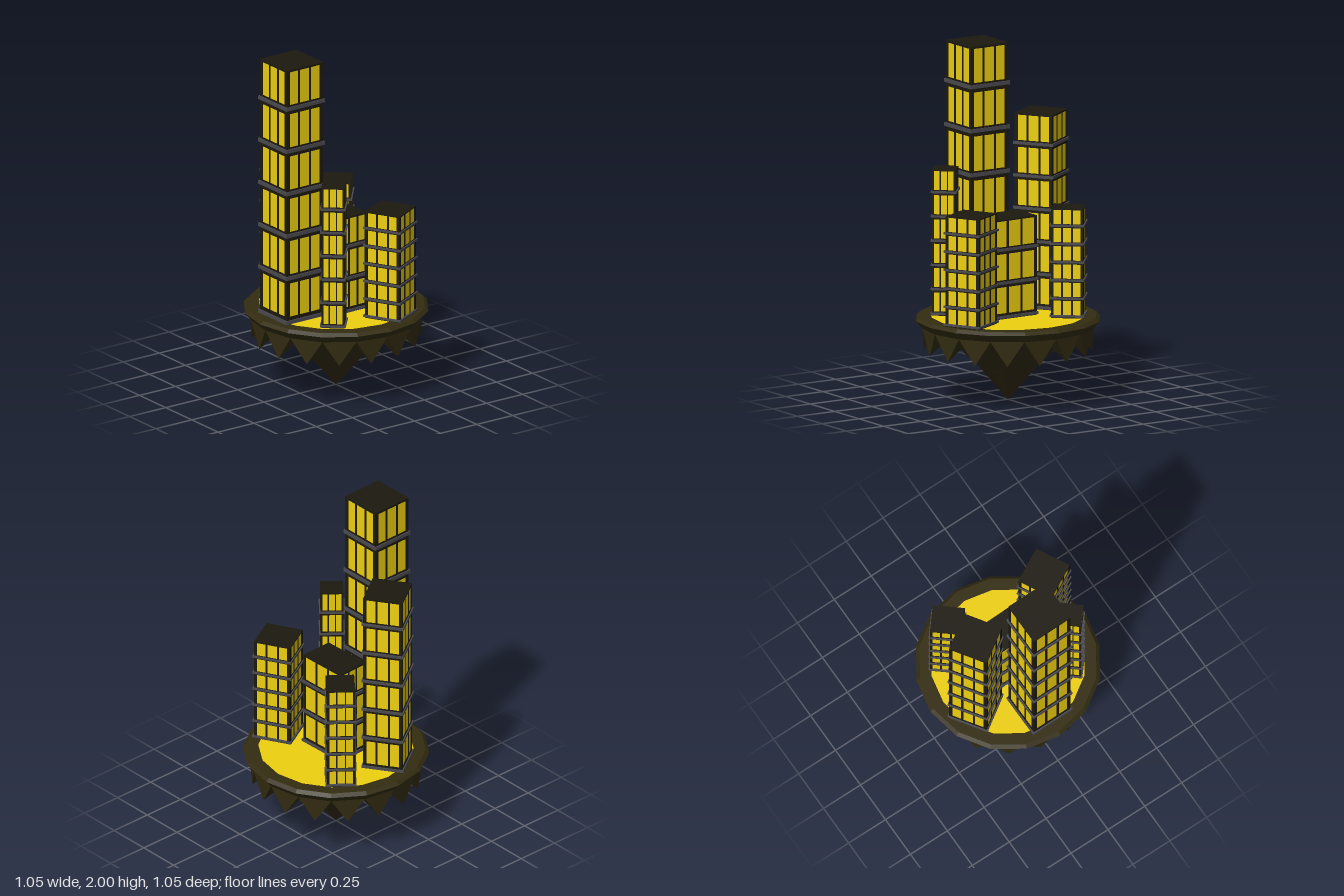
import * as THREE from 'three';

const SIDES = 16;
const GROUND = 0.485;
const mat = (color) => new THREE.MeshStandardMaterial({ color, flatShading: true });
const gold = mat(0xeed010);
const dark = mat(0x1c190f);
const trim = mat(0x4a4a50);
const rock = mat(0x332c11);

function add(parent, name, geometry, material, x = 0, y = 0, z = 0) {
  const mesh = new THREE.Mesh(geometry, material);
  mesh.name = name;
  mesh.position.set(x, y, z);
  parent.add(mesh);
  return mesh;
}

// Box given by its bottom and top heights
function block(parent, name, material, w, y0, y1, d, x = 0, z = 0) {
  return add(parent, name, new THREE.BoxGeometry(w, y1 - y0, d), material, x, (y0 + y1) / 2, z);
}

function lathe(parent, name, profile) {
  const points = profile.map(([r, y]) => new THREE.Vector2(r, y));
  return add(parent, name, new THREE.LatheGeometry(points, SIDES), rock);
}

// Ring of four-sided rock spikes hanging between the rim and the root
function spikeRing(outer, inner, tip) {
  const at = ([r, y], k) => {
    const a = (k / SIDES) * Math.PI * 2;
    return [r * Math.sin(a), y, r * Math.cos(a)];
  };
  const pos = [];
  for (let k = 0; k < SIDES; k++) {
    const t = at(tip, k + 0.5);
    const base = [at(outer, k), at(outer, k + 1), at(inner, k + 1), at(inner, k)];
    base.forEach((p, i) => pos.push(...p, ...t, ...base[(i + 1) % 4]));
  }
  const g = new THREE.BufferGeometry();
  g.setAttribute('position', new THREE.Float32BufferAttribute(pos, 3));
  g.computeVertexNormals();
  return g;
}

function building({ name, x, z, w, d, top, floors, turn }) {
  const group = new THREE.Group();
  group.name = name;
  group.position.set(x, GROUND, z);
  group.rotation.y = turn;
  const height = top - GROUND;
  const h = height / floors;

  // Lit glass core
  block(group, 'windows', gold, w - 0.008, 0, height - 0.004, d - 0.008);

  // Corner posts
  const post = 0.085 * Math.min(w, d);
  for (const sx of [-1, 1]) {
    for (const sz of [-1, 1]) {
      block(group, 'cornerPost', dark, post, 0, height, post, sx * (w - post) / 2, sz * (d - post) / 2);
    }
  }

  // Mullions, each running through to the opposite face: three panes per side
  for (const s of [-1, 1]) {
    block(group, 'mullion', dark, 0.05 * w, 0, height - 0.002, d - 0.003, s * w * 0.155);
    block(group, 'mullion', dark, w - 0.003, 0, height - 0.002, 0.05 * d, 0, s * d * 0.155);
  }

  // Floor slabs with a projecting ledge
  for (let k = 0; k < floors; k++) {
    const y = k * h;
    block(group, 'floorSlab', dark, w, k ? y - 0.04 * h : 0, y + 0.17 * h, d);
    const ledge = k ? y + 0.09 * h : 0.012;
    const half = Math.max(0.006, 0.042 * h);
    block(group, 'ledge', trim, w + 0.015, ledge - half, ledge + half, d + 0.015);
  }
  block(group, 'roof', dark, w, height - 0.05 * h, height, d);
  return group;
}

export function createModel() {
  const model = new THREE.Group();
  model.name = 'floatingCity';

  // Floating island
  const island = new THREE.Group();
  island.name = 'island';
  lathe(island, 'rockRoot', [[0, 0], [0.17, 0.2], [0.32, 0.34], [0.41, 0.39]]);
  add(island, 'rockSpikes', spikeRing([0.49, 0.425], [0.41, 0.39], [0.474, 0.28]), rock);
  lathe(island, 'rim', [[0.49, 0.425], [0.525, 0.467], [0.505, GROUND], [0.437, GROUND]]);
  const plaza = new THREE.CircleGeometry(0.437, SIDES).rotateX(-Math.PI / 2);
  add(island, 'plaza', plaza, gold, 0, GROUND, 0);
  model.add(island);

  // Buildings
  [
    { name: 'frontTower', x: 0.003, z: 0.311, w: 0.252, d: 0.252, top: 2.0, floors: 6, turn: 0.01 },
    { name: 'leftTower', x: -0.301, z: 0.119, w: 0.228, d: 0.228, top: 1.6, floors: 6, turn: 0.594 },
    { name: 'centreBlock', x: 0.017, z: 0.004, w: 0.3, d: 0.194, top: 1.055, floors: 3, turn: 0.027 },
    { name: 'slimTower', x: 0.278, z: 0.217, w: 0.132, d: 0.13, top: 1.32, floors: 6, turn: -0.715 },
    { name: 'backRightBlock', x: 0.335, z: -0.134, w: 0.217, d: 0.213, top: 1.117, floors: 6, turn: 0.496 },
    { name: 'backLeftBlock', x: -0.27, z: -0.208, w: 0.181, d: 0.16, top: 1.11, floors: 6, turn: -0.693 },
  ].forEach((spec) => model.add(building(spec)));

  return model;
}
